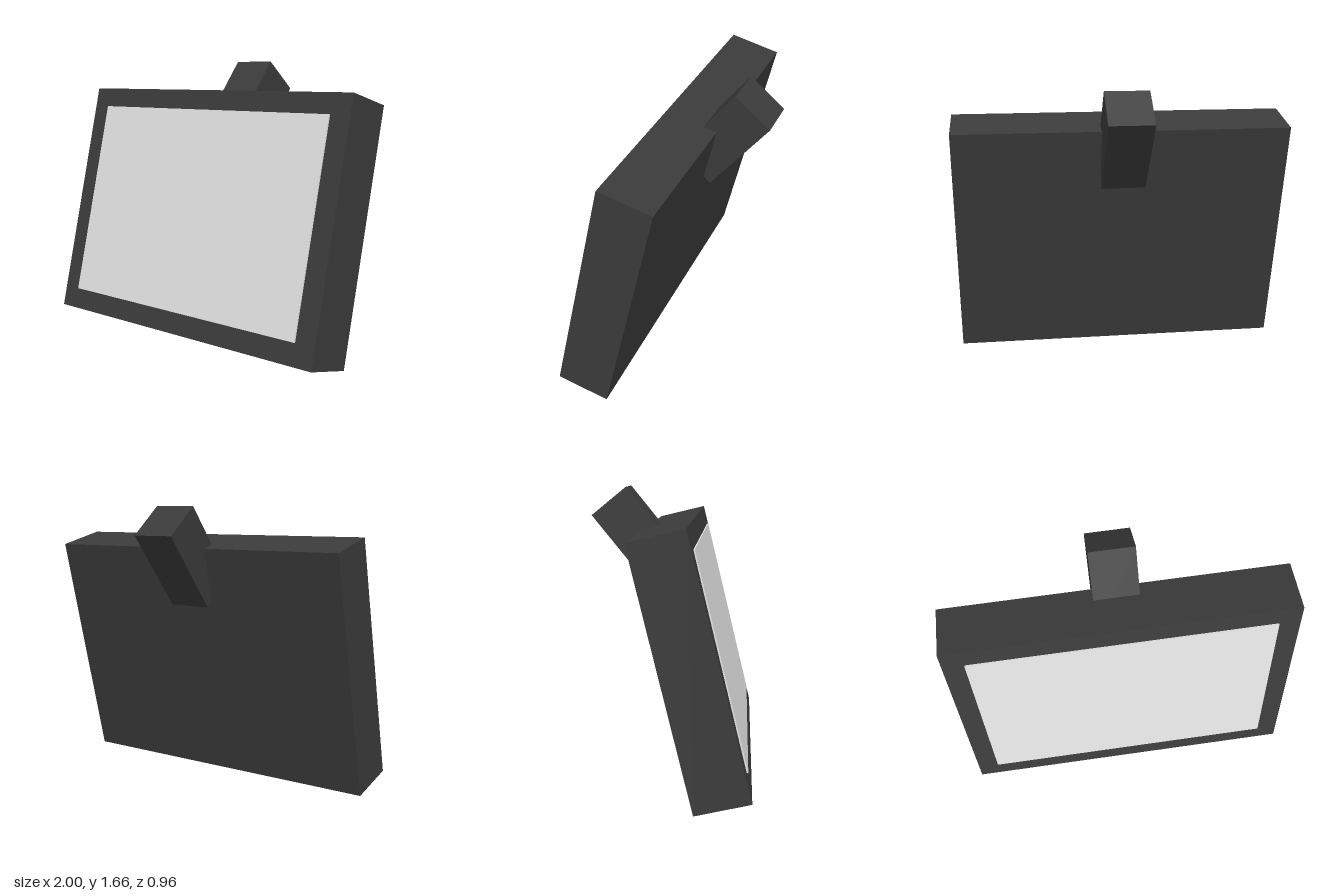
import * as THREE from 'three';

export function createModel() {
  const model = new THREE.Group();
  model.name = 'tiltedDisplay';

  const casing = new THREE.MeshStandardMaterial({ color: 0x3b3b3b });
  casing.name = 'charcoal casing';
  const glass = new THREE.MeshStandardMaterial({ color: 0xe2e2e2 });
  glass.name = 'pale screen';

  const box = (name, parent, material, size, position, tilt = 0) => {
    const mesh = new THREE.Mesh(new THREE.BoxGeometry(...size), material);
    mesh.name = name;
    mesh.position.set(...position);
    mesh.rotation.x = tilt;
    parent.add(mesh);
    return mesh;
  };

  // Display panel leaning back
  const panel = box('panel', model, casing, [2, 1.456, 0.314], [0, 0.745, 0.155], -0.239);

  // Thin screen plate on the panel's front
  box('screen', panel, glass, [1.75, 1.21, 0.009], [0, 0.003, 0.161]);

  // Mounting arm sunk into the upper back
  box('mountArm', model, casing, [0.263, 0.547, 0.263], [0, 1.365, -0.205], -0.682);

  return model;
}
